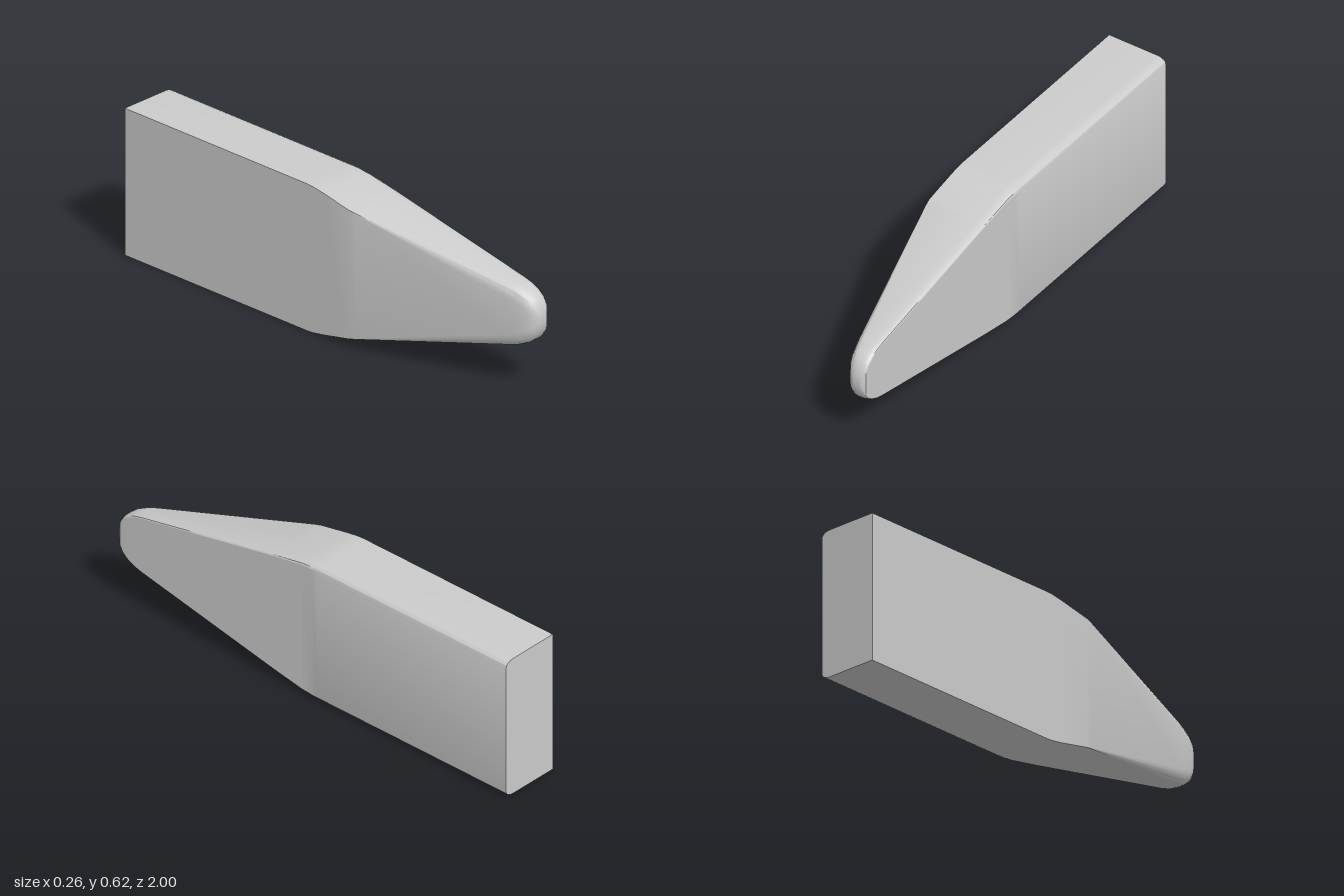
import * as THREE from 'three';
import { toCreasedNormals } from 'three/addons/utils/BufferGeometryUtils.js';

const MID = 0.308; // height of the centre line
const STEPS = 4;   // segments per rounded corner

// Cross-sections from back to tip:
// z, left x, right x, half height, right corner (rx, ry), left corner (rx, ry)
const SECTIONS = [
  [-1, -0.132, 0.131, 0.308, 0.04, 0.025, 0, 0],
  [-0.03, -0.132, 0.131, 0.308, 0.04, 0.025, 0, 0],
  [0.0, -0.132, 0.131, 0.306, 0.04, 0.022, 0, 0],
  [0.05, -0.132, 0.131, 0.298, 0.04, 0.016, 0, 0],
  [0.19, -0.132, 0.131, 0.27, 0.038, 0.012, 0, 0],
  [0.22, -0.128, 0.131, 0.264, 0.038, 0.012, 0.002, 0.003],
  [0.87, 0.017, 0.131, 0.132, 0.03, 0.01, 0.04, 0.05],
  [0.91, 0.027, 0.131, 0.122, 0.03, 0.011, 0.04, 0.055],
  [0.945, 0.036, 0.131, 0.106, 0.03, 0.012, 0.038, 0.055],
  [0.97, 0.046, 0.131, 0.087, 0.03, 0.015, 0.035, 0.05],
  [0.985, 0.057, 0.13, 0.066, 0.028, 0.02, 0.03, 0.04],
  [0.995, 0.069, 0.122, 0.043, 0.022, 0.02, 0.02, 0.03],
  [1, 0.08, 0.112, 0.02, 0.012, 0.012, 0.012, 0.012],
];

// Rounded rectangle, counter-clockwise seen from the tip
function ring([z, xl, xr, h, rx, ry, lx, ly]) {
  const corners = [
    [xr - rx, h - ry, rx, ry], [xl + lx, h - ly, lx, ly],
    [xl + lx, ly - h, lx, ly], [xr - rx, ry - h, rx, ry],
  ];
  const points = [];
  corners.forEach(([cx, cy, a, b], q) => {
    for (let i = 0; i <= STEPS; i++) {
      const t = (q + i / STEPS) * Math.PI / 2;
      points.push(new THREE.Vector3(cx + a * Math.cos(t), MID + cy + b * Math.sin(t), z));
    }
  });
  return points;
}

function loft(sections) {
  const rings = sections.map(ring);
  const positions = [];
  const triangle = new THREE.Triangle();
  const add = (a, b, c) => {
    if (triangle.set(a, b, c).getArea() > 1e-9) {
      for (const p of [a, b, c]) positions.push(p.x, p.y, p.z);
    }
  };
  const n = rings[0].length;
  const last = rings.length - 1;
  const centre = (s) => new THREE.Vector3((s[1] + s[2]) / 2, MID, s[0]);
  const back = centre(sections[0]);
  const tip = centre(sections[last]);
  for (let i = 0; i < n; i++) {
    const j = (i + 1) % n;
    for (let k = 0; k < last; k++) {
      add(rings[k][i], rings[k][j], rings[k + 1][j]);
      add(rings[k][i], rings[k + 1][j], rings[k + 1][i]);
    }
    add(back, rings[0][j], rings[0][i]);
    add(tip, rings[last][i], rings[last][j]);
  }
  const geometry = new THREE.BufferGeometry();
  geometry.setAttribute('position', new THREE.Float32BufferAttribute(positions, 3));
  return toCreasedNormals(geometry, 0.33);
}

export function createModel() {
  const group = new THREE.Group();
  group.name = 'taperedBar';
  // One solid bar: square back, tapered front half, blunt rounded tip
  const bar = new THREE.Mesh(loft(SECTIONS), new THREE.MeshStandardMaterial({ color: 0xcccccc }));
  bar.name = 'barBody';
  group.add(bar);
  return group;
}
